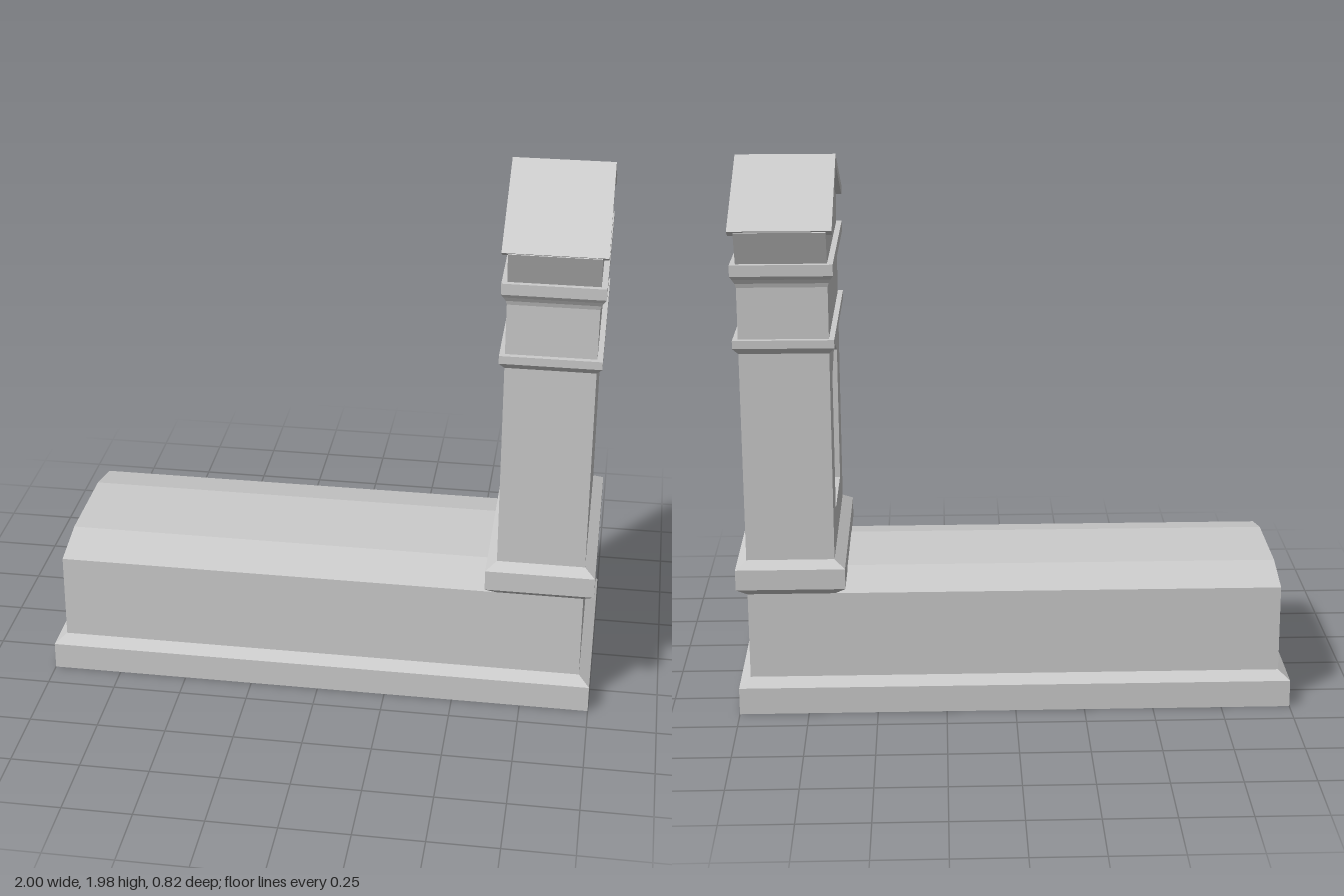
import * as THREE from 'three';

const mat = new THREE.MeshStandardMaterial({ color: 0xcccccc, flatShading: true });
const TOWER_X = 0.803; // centre of the upright block

// Stacked rectangular sections [y, halfX, halfZ], capped at both ends
function rectLoft(name, cx, sections) {
  const pos = [];
  const ring = ([y, hx, hz]) => [[cx - hx, y, hz], [cx + hx, y, hz], [cx + hx, y, -hz], [cx - hx, y, -hz]];
  const quad = (a, b, c, d) => pos.push(...a, ...b, ...c, ...a, ...c, ...d);
  const rings = sections.map(ring);
  for (let i = 0; i < rings.length - 1; i++) {
    for (let k = 0; k < 4; k++) {
      const n = (k + 1) % 4;
      quad(rings[i][k], rings[i][n], rings[i + 1][n], rings[i + 1][k]);
    }
  }
  const top = rings[rings.length - 1];
  const bottom = rings[0];
  quad(...top);
  quad(bottom[3], bottom[2], bottom[1], bottom[0]);
  const geo = new THREE.BufferGeometry();
  geo.setAttribute('position', new THREE.Float32BufferAttribute(pos, 3));
  geo.computeVertexNormals();
  const mesh = new THREE.Mesh(geo, mat);
  mesh.name = name;
  return mesh;
}

const toPoints = (pts) => pts.map(([z, y]) => new THREE.Vector2(z, y));

// Symmetrical z/y outline extruded along x from x0 to x1
function extrudeX(name, pts, x0, x1, hole) {
  const shape = new THREE.Shape(toPoints(pts));
  if (hole) shape.holes.push(new THREE.Path(toPoints(hole)));
  const geo = new THREE.ExtrudeGeometry(shape, { depth: x1 - x0, bevelEnabled: false });
  geo.rotateY(Math.PI / 2).translate(x0, 0, 0);
  const mesh = new THREE.Mesh(geo, mat);
  mesh.name = name;
  return mesh;
}

export function createModel() {
  const model = new THREE.Group();
  model.name = 'tombMonument';

  // Ground plinth with chamfered top edge
  model.add(rectLoft('plinth', 0, [[0, 1, 0.395], [0.1, 1, 0.395], [0.13, 0.96, 0.357]]));

  // Long chest with a faceted lid
  model.add(extrudeX('chest', [
    [-0.357, 0.13], [0.357, 0.13], [0.357, 0.45], [0.18, 0.49], [-0.18, 0.49], [-0.357, 0.45],
  ], -0.96, 0.96));

  // Upright: base moulding, shaft, mid moulding, frieze and cornice
  const upright = new THREE.Group();
  upright.name = 'upright';
  upright.add(rectLoft('baseMoulding', TOWER_X, [
    [0.45, 0.157, 0.357], [0.48, 0.195, 0.395], [0.555, 0.195, 0.395], [0.58, 0.157, 0.357],
  ]));

  // Shaft: solid back and a face layer pierced by the gabled niche
  const x0 = TOWER_X - 0.157, x1 = TOWER_X + 0.157, depth = 0.035;
  const panel = [[-0.357, 0.57], [0.357, 0.57], [0.357, 1.345], [-0.357, 1.345]];
  const niche = [[-0.185, 0.71], [-0.185, 1.21], [0, 1.285], [0.185, 1.21], [0.185, 0.71]];
  upright.add(extrudeX('nicheFace', panel, x0, x0 + depth, niche));
  upright.add(extrudeX('shaft', panel, x0 + depth, x1));

  upright.add(rectLoft('midMoulding', TOWER_X, [
    [1.34, 0.157, 0.357], [1.363, 0.176, 0.377], [1.392, 0.176, 0.377],
  ]));
  upright.add(rectLoft('frieze', TOWER_X, [
    [1.38, 0.157, 0.357], [1.575, 0.157, 0.357], [1.59, 0.161, 0.361], [1.605, 0.169, 0.369],
  ]));
  upright.add(rectLoft('cornice', TOWER_X, [
    [1.605, 0.169, 0.369], [1.618, 0.177, 0.377], [1.658, 0.177, 0.377],
  ]));

  // Pediment block with outward-leaning sides
  upright.add(extrudeX('pediment', [
    [-0.357, 1.655], [0.357, 1.655], [0.405, 1.775], [0, 1.96], [-0.405, 1.775],
  ], x0, x1));

  // Gabled roof slab overhanging the pediment faces
  upright.add(extrudeX('roof', [
    [-0.412, 1.782], [-0.372, 1.76], [0, 1.935], [0.372, 1.76], [0.412, 1.782], [0, 1.975],
  ], TOWER_X - 0.178, TOWER_X + 0.178));
  model.add(upright);

  return model;
}
